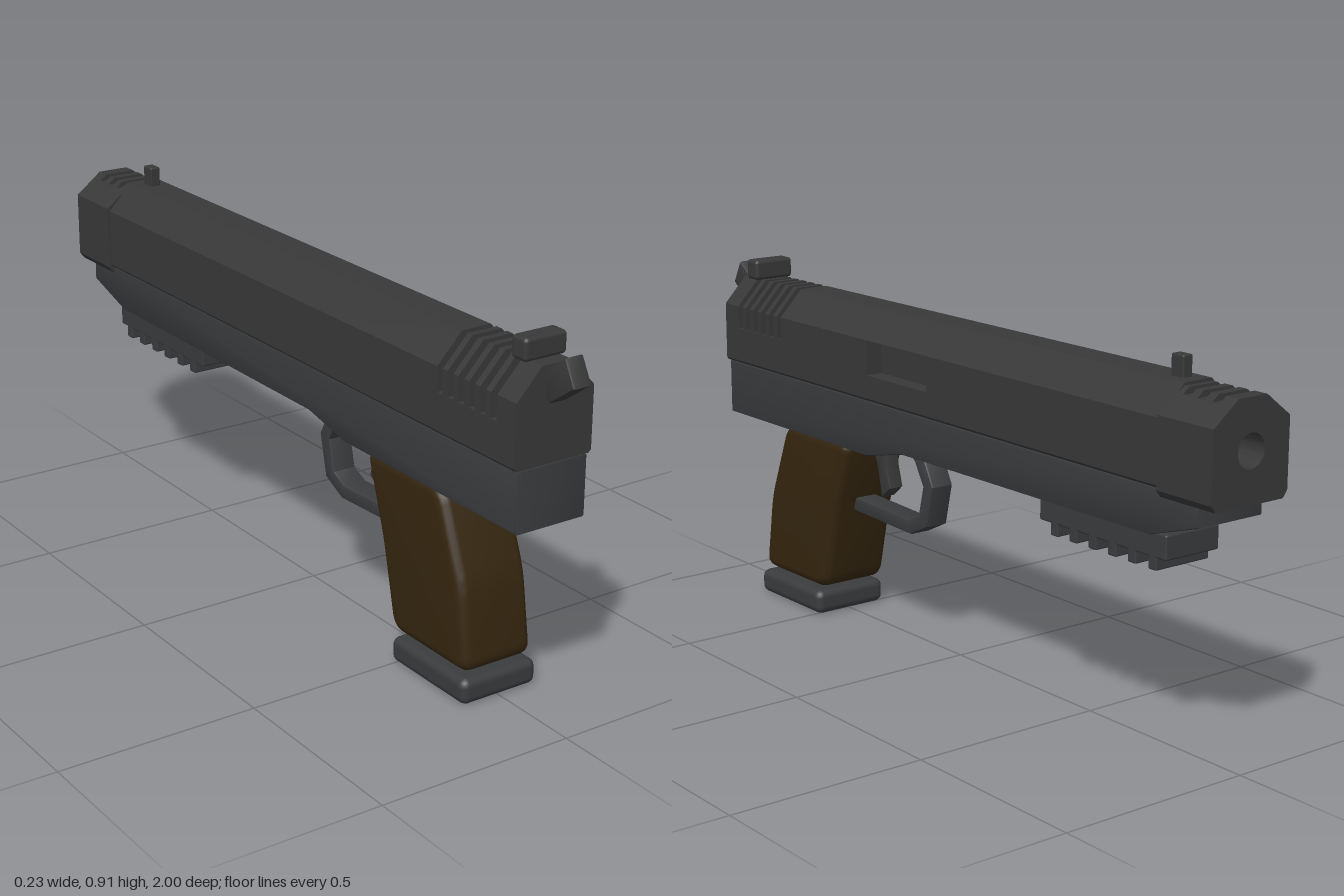
import * as THREE from 'three';
import { toCreasedNormals } from 'three/addons/utils/BufferGeometryUtils.js';
import { RoundedBoxGeometry } from 'three/addons/geometries/RoundedBoxGeometry.js';

const steel = new THREE.MeshStandardMaterial({ color: 0x383838 });
steel.name = 'dark steel';
const polymer = new THREE.MeshStandardMaterial({ color: 0x393b3d });
polymer.name = 'frame grey';
const wood = new THREE.MeshStandardMaterial({ color: 0x35260f });
wood.name = 'brown grip';

const toShape = (pts) => new THREE.Shape(pts.map(([a, b]) => new THREE.Vector2(a, b)));

// Polygon with each corner rounded by radius r
function roundedShape(pts, r) {
  const v = pts.map(([a, b]) => new THREE.Vector2(a, b));
  const s = new THREE.Shape();
  v.forEach((p, i) => {
    const prev = v[(i + v.length - 1) % v.length], next = v[(i + 1) % v.length];
    const a = p.clone().add(prev.clone().sub(p).setLength(r));
    const b = p.clone().add(next.clone().sub(p).setLength(r));
    if (i === 0) s.moveTo(a.x, a.y); else s.lineTo(a.x, a.y);
    s.quadraticCurveTo(p.x, p.y, b.x, b.y);
  });
  s.closePath();
  return s;
}

// Extrude a shape by depth, with the bevel kept inside its outline
function extrude(shape, depth, bevel = 0, segments = 1) {
  const g = new THREE.ExtrudeGeometry(shape, {
    depth: depth - 2 * bevel, bevelEnabled: bevel > 0, bevelSize: bevel,
    bevelThickness: bevel, bevelOffset: -bevel, bevelSegments: segments, curveSegments: 5,
  });
  return g.translate(0, 0, bevel);
}

export function createModel() {
  const model = new THREE.Group();
  model.name = 'pistol';

  const add = (name, geometry, material, parent = model) => {
    const m = new THREE.Mesh(geometry, material);
    m.name = name;
    parent.add(m);
    return m;
  };
  const group = (name) => {
    const g = new THREE.Group();
    g.name = name;
    model.add(g);
    return g;
  };
  // Side profile in (z, y), centred on x = 0
  const side = (name, shape, width, material, bevel = 0, segments = 1) => {
    const g = extrude(shape, width, bevel, segments).translate(0, 0, -width / 2).rotateY(-Math.PI / 2);
    return add(name, toCreasedNormals(g, 0.6), material);
  };
  // Cross-section in (x, y), running from z0 to z1
  const section = (name, shape, z0, z1, parent, bevel = 0) =>
    add(name, extrude(shape, z1 - z0, bevel).translate(0, 0, z0), steel, parent);
  const box = (name, w, y0, y1, z0, z1, material, r, parent) =>
    add(name, new RoundedBoxGeometry(w, y1 - y0, z1 - z0, 2, r)
      .translate(0, (y0 + y1) / 2, (z0 + z1) / 2), material, parent);

  // Slide, with a notched stretch for the ejection port
  const slide = group('slide');
  const W = 0.106, roof = [[W, 0.79], [0.04, 0.86], [-0.04, 0.86], [-W, 0.79]];
  const full = toShape([[-W, 0.64], [-0.1, 0.633], [0.1, 0.633], [W, 0.64], ...roof]);
  const port = toShape([[-W, 0.64], [-0.1, 0.633], [0.1, 0.633], [W, 0.64],
    [W, 0.7], [0.06, 0.7], [0.06, 0.787], ...roof]);
  const lower = toShape([[-W, 0.64], [-0.1, 0.633], [0.1, 0.633], [W, 0.64], [W, 0.73], [-W, 0.73]]);
  const upper = toShape([[-W, 0.73], [W, 0.73], ...roof]);
  section('slideFront', full, -0.835, 0, slide);
  section('slideEjectionPort', port, 0, 0.25, slide);
  section('slideMiddle', full, 0.25, 0.64, slide);
  section('slideSerrationBase', lower, 0.64, 0.85, slide);
  section('slideRear', full, 0.85, 0.915, slide);
  // Cocking serrations: thin fins with open slots between
  for (let i = 0; i < 5; i++) {
    const z = 0.66 + i * 0.038;
    section('serrationFin', upper, z, z + 0.018, slide);
  }

  // Muzzle block with bore and vent slots
  const muzzle = group('muzzle');
  const block = toShape([[-0.1, 0.615], [0.1, 0.615], [0.113, 0.632], [0.113, 0.798],
    [0.061, 0.838], [-0.061, 0.838], [-0.113, 0.798], [-0.113, 0.632]]);
  block.holes.push(new THREE.Path().absarc(0, 0.735, 0.04, 0, Math.PI * 2, true));
  const blockGeometry = new THREE.ExtrudeGeometry(block, { depth: 0.17, bevelEnabled: false, curveSegments: 16 });
  add('muzzleBlock', toCreasedNormals(blockGeometry.translate(0, 0, -1), 0.5), steel, muzzle);
  const ridge = toShape([[-0.061, 0.838], [0.061, 0.838], [0.042, 0.853], [-0.042, 0.853]]);
  for (const [z0, z1] of [[-1, -0.962], [-0.94, -0.917], [-0.895, -0.873], [-0.851, -0.83]]) {
    section('ventRidge', ridge, z0, z1, muzzle);
  }

  // Frame under the slide
  side('frame', toShape([[0.915, 0.485], [0.915, 0.631], [-0.945, 0.631], [-0.945, 0.568],
    [-0.79, 0.52], [0.12, 0.517], [0.27, 0.485]]), 0.194, polymer, 0.006, 2);

  // Accessory rail and its teeth
  const rail = group('accessoryRail');
  box('railBody', 0.16, 0.465, 0.524, -0.832, -0.402, polymer, 0.005, rail);
  for (let i = 0; i < 6; i++) {
    const z = -0.455 - i * 0.0665;
    box('railTooth', 0.16, 0.436, 0.472, z - 0.0135, z + 0.0135, polymer, 0.004, rail);
  }

  // Grip and magazine base
  side('grip', roundedShape([[0.645, 0.5], [0.73, 0.285], [0.762, 0.076], [0.47, 0.076],
    [0.42, 0.295], [0.352, 0.5]], 0.04), 0.194, wood, 0.025, 4);
  side('gripTop', toShape([[0.64, 0.487], [0.62, 0.51], [0.37, 0.51], [0.36, 0.487]]), 0.15, wood);
  box('magazineBase', 0.214, 0.002, 0.066, 0.482, 0.766, polymer, 0.02);

  // Trigger guard strap and trigger
  side('triggerGuard', toShape([[0.44, 0.298], [0.17, 0.288], [0.1, 0.322], [0.075, 0.43],
    [0.11, 0.495], [0.16, 0.525], [0.21, 0.525], [0.15, 0.485], [0.115, 0.425],
    [0.135, 0.345], [0.18, 0.325], [0.44, 0.335]]), 0.066, polymer, 0.006, 2);
  side('trigger', toShape([[0.35, 0.5], [0.325, 0.43], [0.308, 0.355], [0.272, 0.385],
    [0.288, 0.44], [0.29, 0.5]]), 0.044, steel, 0.005, 2);

  // Sights and hammer
  box('rearSight', 0.116, 0.858, 0.912, 0.83, 0.88, steel, 0.01);
  box('frontSight', 0.028, 0.85, 0.91, -0.802, -0.762, steel, 0.004);
  side('hammer', toShape([[0.968, 0.89], [0.9, 0.845], [0.9, 0.79], [0.925, 0.776],
    [1.0, 0.83]]), 0.052, steel, 0.007, 2);

  return model;
}
